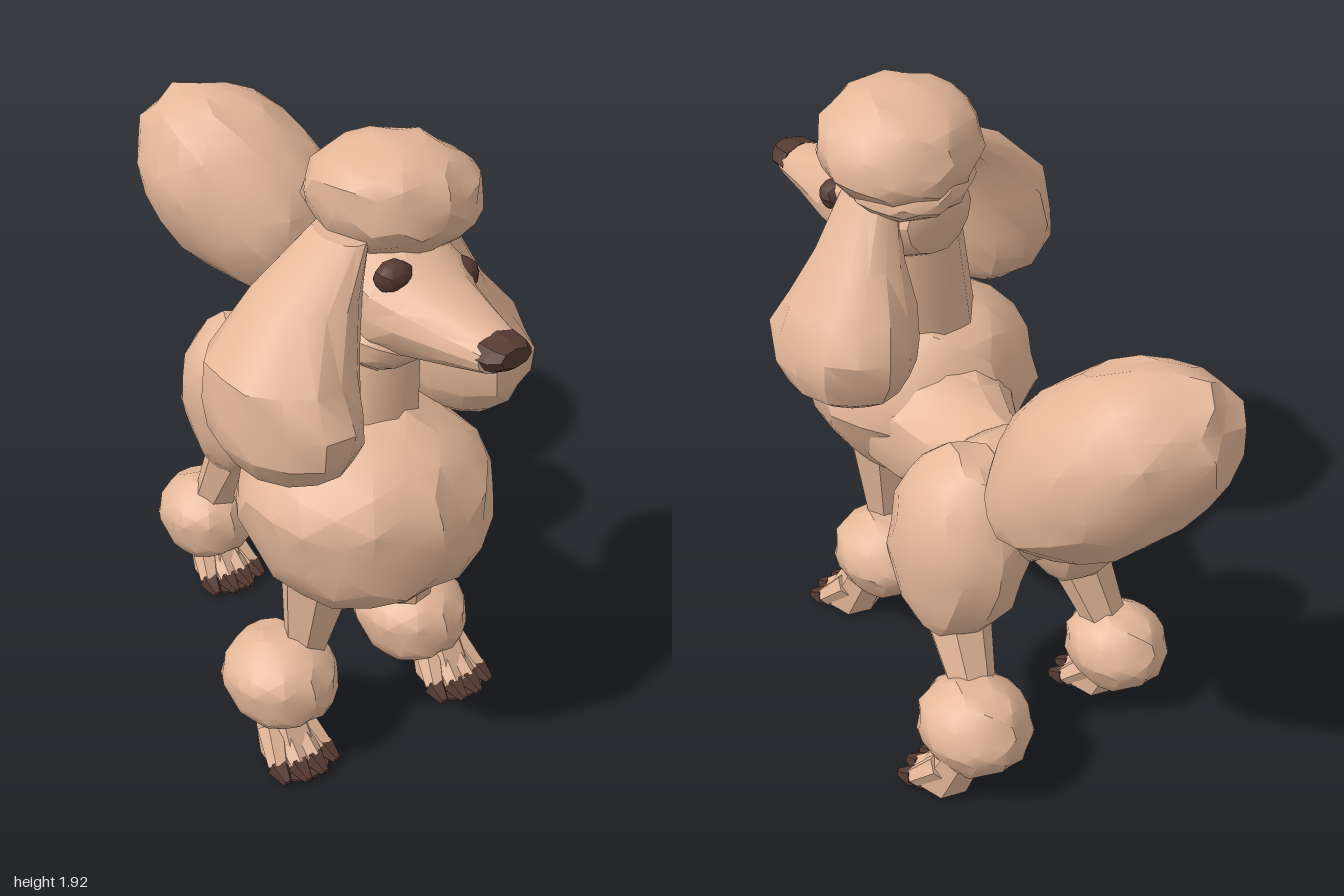
import * as THREE from 'three';
import { toCreasedNormals } from 'three/addons/utils/BufferGeometryUtils.js';

const fur = new THREE.MeshStandardMaterial({ color: 0xe3b698 });
fur.name = 'tan fur';
const dark = new THREE.MeshStandardMaterial({ color: 0x553a31 });
dark.name = 'dark brown';

// Repeatable value in -1..1 from a position, so shared corners move together
function hash(x, y, z) {
  const q = (n) => Math.round(n * 1000);
  const s = Math.sin(q(x) * 0.127 + q(y) * 0.311 + q(z) * 0.747) * 43758.5453;
  return (s - Math.floor(s)) * 2 - 1;
}

export function createModel() {
  const group = new THREE.Group();

  function add(name, geometry, material = fur, crease = 0.5) {
    const mesh = new THREE.Mesh(toCreasedNormals(geometry, crease), material);
    mesh.name = name;
    group.add(mesh);
    return mesh;
  }

  // Rough clipped-fur ball
  function puff(name, centre, radii, { rough = 0.045, detail = 3, material = fur } = {}) {
    const g = new THREE.IcosahedronGeometry(1, detail);
    const p = g.attributes.position;
    for (let i = 0; i < p.count; i++) {
      const x = p.getX(i), y = p.getY(i), z = p.getZ(i);
      const k = 1 + rough * hash(x, y, z);
      p.setXYZ(i, x * k, y * k, z * k);
    }
    g.scale(...radii);
    const mesh = add(name, g, material);
    mesh.position.set(...centre);
    return mesh;
  }

  // Skin over elliptical rings [x, y, z, radiusA, radiusB], rising along the axis
  function loft(name, axis, rings, { sides = 14, rough = 0.04, material = fur } = {}) {
    const pos = [], idx = [];
    rings.forEach(([x, y, z, a, b]) => {
      for (let j = 0; j < sides; j++) {
        const t = (j / sides) * Math.PI * 2;
        const k = 1 + rough * hash(x + t, y, z + t * 2);
        const u = a * k * Math.cos(t), v = b * k * Math.sin(t);
        if (axis === 'z') pos.push(x + u, y + v, z);
        else pos.push(x + u, y, z - v);
      }
    });
    const n = rings.length;
    const first = pos.length / 3, last = first + 1;
    pos.push(...rings[0].slice(0, 3), ...rings[n - 1].slice(0, 3));
    for (let j = 0; j < sides; j++) {
      const k = (j + 1) % sides;
      for (let i = 0; i < n - 1; i++) {
        const a = i * sides + j, b = i * sides + k;
        idx.push(a, b, a + sides, b, b + sides, a + sides);
      }
      idx.push(first, k, j, last, (n - 1) * sides + j, (n - 1) * sides + k);
    }
    const g = new THREE.BufferGeometry();
    g.setAttribute('position', new THREE.Float32BufferAttribute(pos, 3));
    g.setIndex(idx);
    return add(name, g, material);
  }

  // Tapered limb between two points, kept just above the soles
  function limb(name, from, to, r0, r1, { sides = 7, material = fur } = {}) {
    const a = new THREE.Vector3(...from), b = new THREE.Vector3(...to);
    const d = b.clone().sub(a);
    const g = new THREE.CylinderGeometry(r1, r0, d.length(), sides, 1);
    const turn = new THREE.Quaternion().setFromUnitVectors(
      new THREE.Vector3(0, 1, 0), d.clone().normalize());
    g.applyQuaternion(turn);
    const m = a.add(b).multiplyScalar(0.5);
    g.translate(m.x, m.y, m.z);
    const p = g.attributes.position;
    for (let i = 0; i < p.count; i++) p.setY(i, Math.max(0.005, p.getY(i)));
    return add(name, g, material, 0.7);
  }

  // Trunk: shaved waist to heavy chest mane
  loft('trunk', 'z', [
    [0.14, 0.80, -0.28, 0.15, 0.17],
    [0.06, 0.79, 0.0, 0.17, 0.18],
    [-0.01, 0.77, 0.14, 0.21, 0.20],
    [-0.08, 0.76, 0.28, 0.28, 0.25],
    [-0.12, 0.78, 0.42, 0.32, 0.27],
  ]);
  puff('chestMane', [-0.14, 0.82, 0.5], [0.38, 0.315, 0.37]);
  puff('rump', [0.15, 0.83, -0.21], [0.27, 0.2, 0.225]);
  limb('neck', [-0.13, 0.98, 0.46], [-0.04, 1.62, 0.41], 0.17, 0.13, { sides: 9 });

  // Head with a full, tapering muzzle and a soft throat
  loft('head', 'z', [
    [-0.03, 1.55, 0.24, 0.05, 0.05],
    [-0.03, 1.53, 0.28, 0.13, 0.13],
    [-0.04, 1.5, 0.45, 0.19, 0.19],
    [-0.045, 1.485, 0.6, 0.185, 0.15],
    [-0.04, 1.47, 0.68, 0.15, 0.125],
    [-0.035, 1.472, 0.82, 0.11, 0.085],
    [-0.03, 1.475, 0.94, 0.077, 0.052],
  ]);
  puff('throat', [-0.09, 1.37, 0.52], [0.16, 0.1, 0.14], { detail: 2 });
  loft('nose', 'z', [
    [-0.028, 1.482, 0.915, 0.083, 0.055],
    [-0.028, 1.487, 0.97, 0.077, 0.047],
    [-0.028, 1.495, 1.0, 0.052, 0.03],
  ], { sides: 8, rough: 0, material: dark });
  puff('rightEye', [-0.14, 1.595, 0.61], [0.06, 0.048, 0.045], { detail: 1, material: dark });
  puff('leftEye', [0.1, 1.525, 0.605], [0.052, 0.052, 0.05], { detail: 1, material: dark });

  // Domed topknot, tipped back and towards the left ear
  const topknot = puff('topknot', [-0.005, 1.735, 0.425], [0.25, 0.175, 0.25]);
  topknot.rotation.set(-0.16, 0, -0.18);
  const nape = puff('topknotNape', [0.0, 1.655, 0.385], [0.2, 0.11, 0.2]);
  nape.rotation.set(-0.16, 0, -0.18);

  // Pear-shaped hanging ears; the head tips towards its left
  loft('leftEar', 'y', [
    [0.27, 0.965, 0.41, 0.05, 0.06],
    [0.265, 0.985, 0.41, 0.11, 0.14],
    [0.26, 1.035, 0.41, 0.17, 0.21],
    [0.255, 1.11, 0.41, 0.2, 0.25],
    [0.25, 1.19, 0.41, 0.205, 0.255],
    [0.22, 1.29, 0.41, 0.18, 0.215],
    [0.17, 1.42, 0.42, 0.12, 0.15],
    [0.11, 1.62, 0.43, 0.06, 0.1],
  ]);
  loft('rightEar', 'y', [
    [-0.44, 1.065, 0.55, 0.05, 0.06],
    [-0.445, 1.085, 0.55, 0.11, 0.14],
    [-0.455, 1.135, 0.55, 0.165, 0.21],
    [-0.46, 1.21, 0.55, 0.195, 0.26],
    [-0.46, 1.3, 0.55, 0.2, 0.27],
    [-0.45, 1.41, 0.53, 0.2, 0.23],
    [-0.35, 1.56, 0.5, 0.15, 0.15],
    [-0.21, 1.69, 0.46, 0.06, 0.1],
  ]);

  // Tail stem and large leaning tail pompom
  limb('tailStem', [0.19, 0.9, -0.26], [0.34, 1.02, -0.44], 0.08, 0.06);
  const tail = puff('tailPompom', [0.22, 1.22, -0.66], [0.28, 0.41, 0.26]);
  tail.quaternion.setFromUnitVectors(
    new THREE.Vector3(0, 1, 0), new THREE.Vector3(-0.37, 0.62, -0.68).normalize());

  // Thighs, the left one slanting outwards
  puff('leftThigh', [0.335, 0.735, -0.165], [0.19, 0.315, 0.235]).rotation.z = 0.2;
  puff('rightThigh', [-0.06, 0.74, -0.26], [0.195, 0.29, 0.205]);

  // Each leg: shaved shank, ankle pompom, paw with four clawed toes on a dark sole
  const legs = [
    { name: 'frontLeft', top: [0.05, 0.66, 0.5], ankle: [0.065, 0.25, 0.465], w: [0.11, 0.05],
      pom: [0.1, 0.235, 0.43], r: [0.17, 0.15, 0.185], paw: [0.17, 0.46] },
    { name: 'frontRight', top: [-0.29, 0.66, 0.5], ankle: [-0.35, 0.25, 0.48], w: [0.13, 0.05],
      pom: [-0.42, 0.245, 0.465], r: [0.17, 0.15, 0.185], paw: [-0.44, 0.48] },
    { name: 'hindLeft', top: [0.37, 0.52, -0.18], ankle: [0.45, 0.24, -0.36], w: [0.11, 0.06],
      pom: [0.475, 0.22, -0.37], r: [0.168, 0.155, 0.185], paw: [0.55, -0.39] },
    { name: 'hindRight', top: [-0.08, 0.52, -0.27], ankle: [-0.12, 0.22, -0.4], w: [0.1, 0.06],
      pom: [-0.12, 0.2, -0.41], r: [0.153, 0.145, 0.172], paw: [-0.115, -0.4] },
  ];
  for (const { name, top, ankle, w, pom, r, paw: [x, z] } of legs) {
    limb(name + 'Shank', top, ankle, w[0], w[1]);
    puff(name + 'Pompom', pom, r);
    limb(name + 'Paw', [x, 0.16, z], [x, 0.01, z + 0.07], 0.075, 0.095);
    for (let i = -1.5; i <= 1.5; i++) {
      const reach = Math.abs(i) > 1 ? 0.125 : 0.15;
      const tip = [x + i * 0.055, 0.03, z + reach];
      limb(name + 'Toe', [x + i * 0.033, 0.11, z + 0.04], tip, 0.045, 0.032, { sides: 6 });
      limb(name + 'Claw', tip, [x + i * 0.06, 0.012, z + reach + 0.06], 0.036, 0.014,
        { sides: 5, material: dark });
    }
    const sole = new THREE.CylinderGeometry(1, 1, 0.008, 10);
    sole.scale(0.095, 1, 0.075);
    add(name + 'Sole', sole, dark).position.set(x, 0.004, z + 0.125);
  }

  return group;
}
